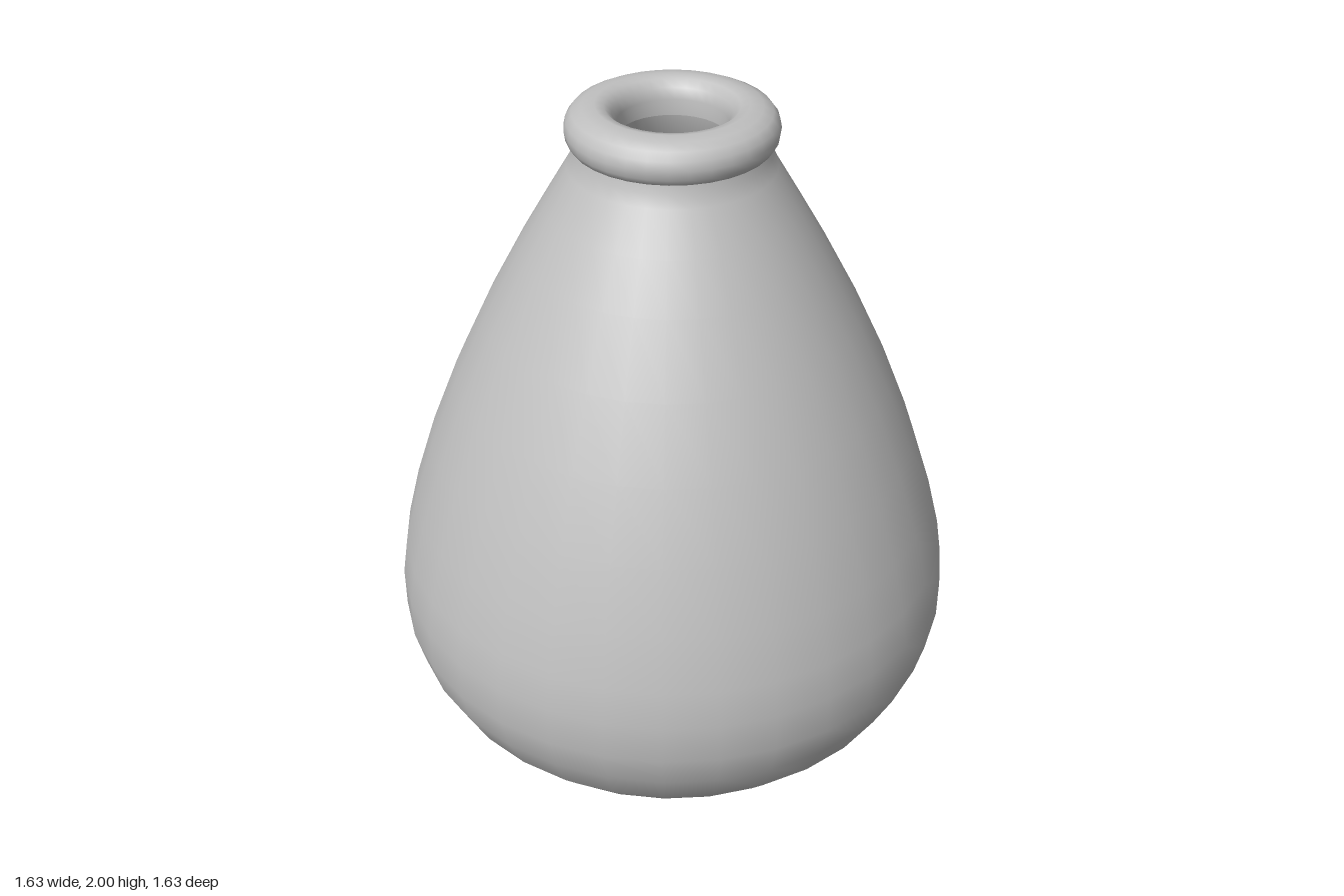
import * as THREE from 'three';

const SEGMENTS = 32;

export function createModel() {
  const group = new THREE.Group();
  group.name = 'vase';
  const clay = new THREE.MeshStandardMaterial({ color: 0xc0c0c0 });
  clay.name = 'grey clay';

  // Each profile is a list of [radius, height], running outward and up the
  // outside, then over the lip and down the inside.
  const turn = (name, profile) => {
    const points = profile.map(([r, y]) => new THREE.Vector2(r, y));
    const mesh = new THREE.Mesh(new THREE.LatheGeometry(points, SEGMENTS), clay);
    mesh.name = name;
    group.add(mesh);
  };

  // Recessed underside
  turn('baseRecess', [[0, 0.07], [0.29, 0.07]]);

  // Rounded foot ring flowing into the full belly and tapering shoulder
  turn('body', [
    [0.29, 0.07], [0.3, 0.045], [0.33, 0.02], [0.375, 0.005], [0.42, 0],
    [0.46, 0], [0.485, 0.01], [0.57, 0.07], [0.665, 0.137], [0.735, 0.215],
    [0.79, 0.325], [0.817, 0.43], [0.817, 0.55], [0.8, 0.66], [0.762, 0.81],
    [0.7, 1.0], [0.62, 1.2], [0.526, 1.4], [0.425, 1.59], [0.35, 1.72],
    [0.285, 1.83], [0.268, 1.865], [0.262, 1.9],
  ]);

  // Rolled lip
  turn('rim', [
    [0.255, 1.89], [0.272, 1.892], [0.284, 1.91], [0.288, 1.935],
    [0.283, 1.96], [0.267, 1.981], [0.24, 1.994], [0.205, 2.0],
    [0.18, 1.994], [0.16, 1.975], [0.15, 1.945], [0.15, 1.9],
  ]);

  // Hollow inside wall and floor
  turn('innerWall', [
    [0.15, 1.9], [0.165, 1.84], [0.22, 1.74], [0.32, 1.57], [0.42, 1.38],
    [0.51, 1.18], [0.59, 0.98], [0.65, 0.8], [0.69, 0.64], [0.705, 0.5],
    [0.69, 0.38], [0.64, 0.28], [0.55, 0.2], [0.42, 0.15],
  ]);
  turn('innerFloor', [[0.42, 0.15], [0, 0.15]]);

  return group;
}
